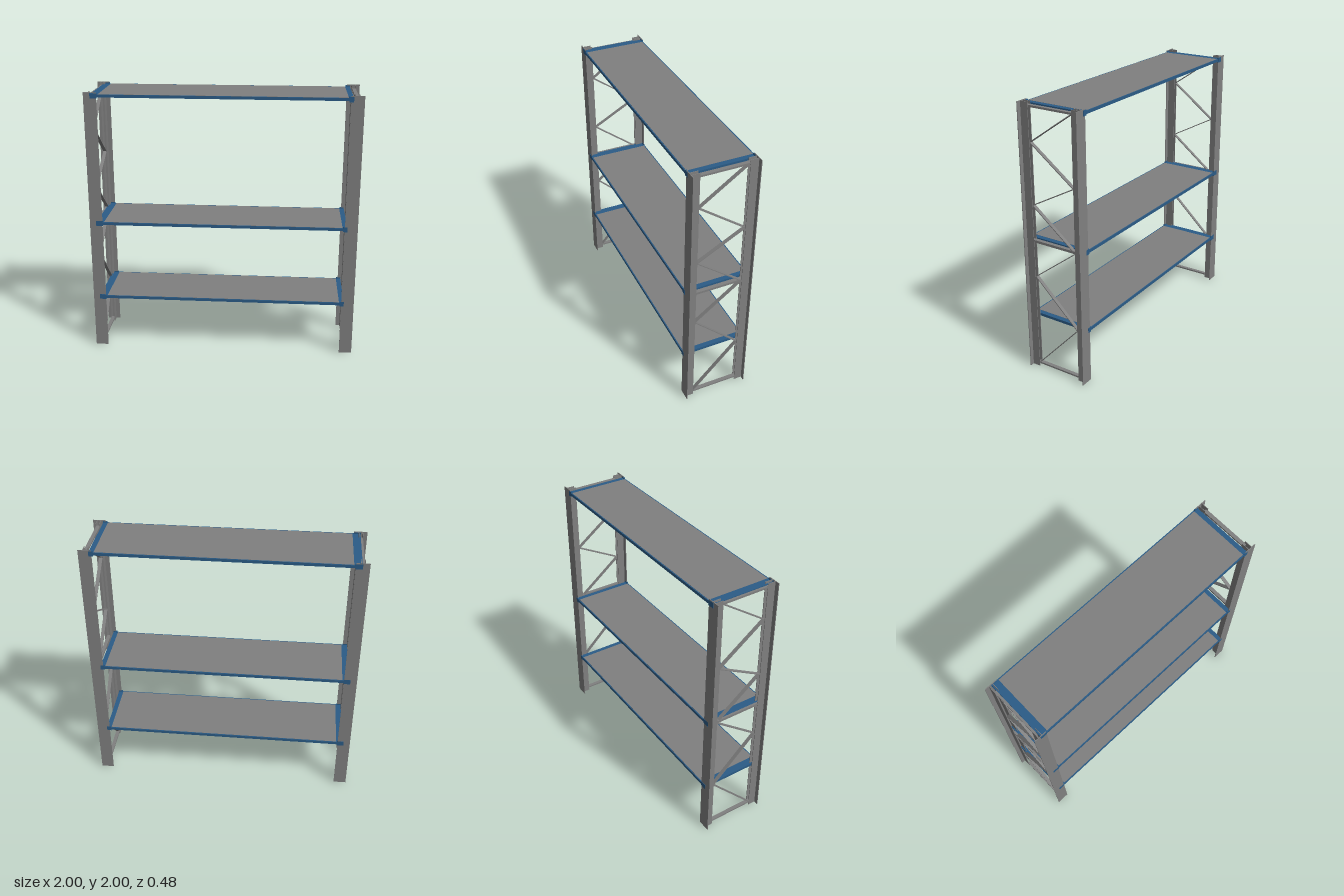
import * as THREE from 'three';

export function createModel() {
  const steel = new THREE.MeshStandardMaterial({ color: 0x808080 });
  steel.name = 'grey steel';
  const blue = new THREE.MeshStandardMaterial({ color: 0x2b5c87 });
  blue.name = 'blue paint';

  const model = new THREE.Group();
  model.name = 'shelvingRack';

  // Box given by its lower and upper limits on each axis
  function box(parent, name, mat, x0, x1, y0, y1, z0, z1) {
    const mesh = new THREE.Mesh(new THREE.BoxGeometry(x1 - x0, y1 - y0, z1 - z0), mat);
    mesh.position.set((x0 + x1) / 2, (y0 + y1) / 2, (z0 + z1) / 2);
    mesh.name = name;
    parent.add(mesh);
    return mesh;
  }

  // Post section: wide face plate with a channel open towards the middle
  const section = new THREE.Shape([
    [-0.048, 0.239], [0.047, 0.239], [0.047, 0.234], [0.015, 0.234],
    [0.015, 0.175], [0.011, 0.175], [0.011, 0.234], [-0.013, 0.234],
    [-0.013, 0.175], [-0.017, 0.175], [-0.017, 0.234], [-0.048, 0.234],
  ].map(([x, z]) => new THREE.Vector2(x, z)));
  const postGeometry = new THREE.ExtrudeGeometry(section, { depth: 2, bevelEnabled: false });
  postGeometry.rotateX(-Math.PI / 2); // section depth now points to -z

  // Zigzag brace corners as [z, y]
  const zigzag = [
    [0.175, 0.03], [-0.175, 0.405], [0.175, 0.735], [-0.175, 1.0],
    [0.175, 1.275], [-0.175, 1.465], [0.175, 1.725], [-0.175, 1.97],
  ];

  for (const side of [-1, 1]) {
    const frame = new THREE.Group();
    frame.name = side > 0 ? 'leftEndFrame' : 'rightEndFrame';
    frame.position.x = side * 0.9525;
    model.add(frame);

    for (const back of [true, false]) {
      const post = new THREE.Mesh(postGeometry, steel);
      post.name = back ? 'backPost' : 'frontPost';
      if (!back) post.rotation.y = Math.PI;
      frame.add(post);
    }

    // Diagonal flat bars
    for (let i = 0; i < zigzag.length - 1; i++) {
      const [z0, y0] = zigzag[i];
      const [z1, y1] = zigzag[i + 1];
      const length = Math.hypot(z1 - z0, y1 - y0);
      const bar = new THREE.Mesh(new THREE.BoxGeometry(0.026, length, 0.006), steel);
      bar.position.set(0, (y0 + y1) / 2, (z0 + z1) / 2);
      bar.rotation.x = Math.atan2(z1 - z0, y1 - y0);
      bar.name = 'diagonalBrace';
      frame.add(bar);
    }

    // Horizontal ties
    for (const [y, h] of [[0.028, 0.012], [1.01, 0.018], [1.973, 0.014]]) {
      box(frame, 'horizontalTie', steel, -0.014, 0.014, y - h / 2, y + h / 2, -0.19, 0.19);
    }
  }

  // Shelves: grey deck in a blue frame hooked onto the posts
  for (const y of [0.41, 1.01, 1.975]) {
    const shelf = new THREE.Group();
    shelf.name = 'shelf';
    shelf.position.y = y;
    model.add(shelf);

    box(shelf, 'deck', steel, -0.893, 0.889, -0.009, 0.011, -0.232, 0.232);
    box(shelf, 'endBeam', blue, -0.95, -0.893, -0.01, 0.01, -0.232, 0.232);
    box(shelf, 'endBeam', blue, 0.889, 0.925, -0.01, 0.01, -0.232, 0.232);
    for (const s of [-1, 1]) {
      const z0 = s > 0 ? 0.232 : -0.24;
      box(shelf, 'longBeam', blue, -0.92, 0.91, -0.011, 0.01, z0, z0 + 0.008);
      // End connectors over the post faces
      for (const [x0, x1] of [[-0.952, -0.902], [0.893, 0.925]]) {
        box(shelf, 'connector', blue, x0, x1, -0.019, 0.019, z0 - 0.001, z0 + 0.009);
      }
    }
  }
  return model;
}
